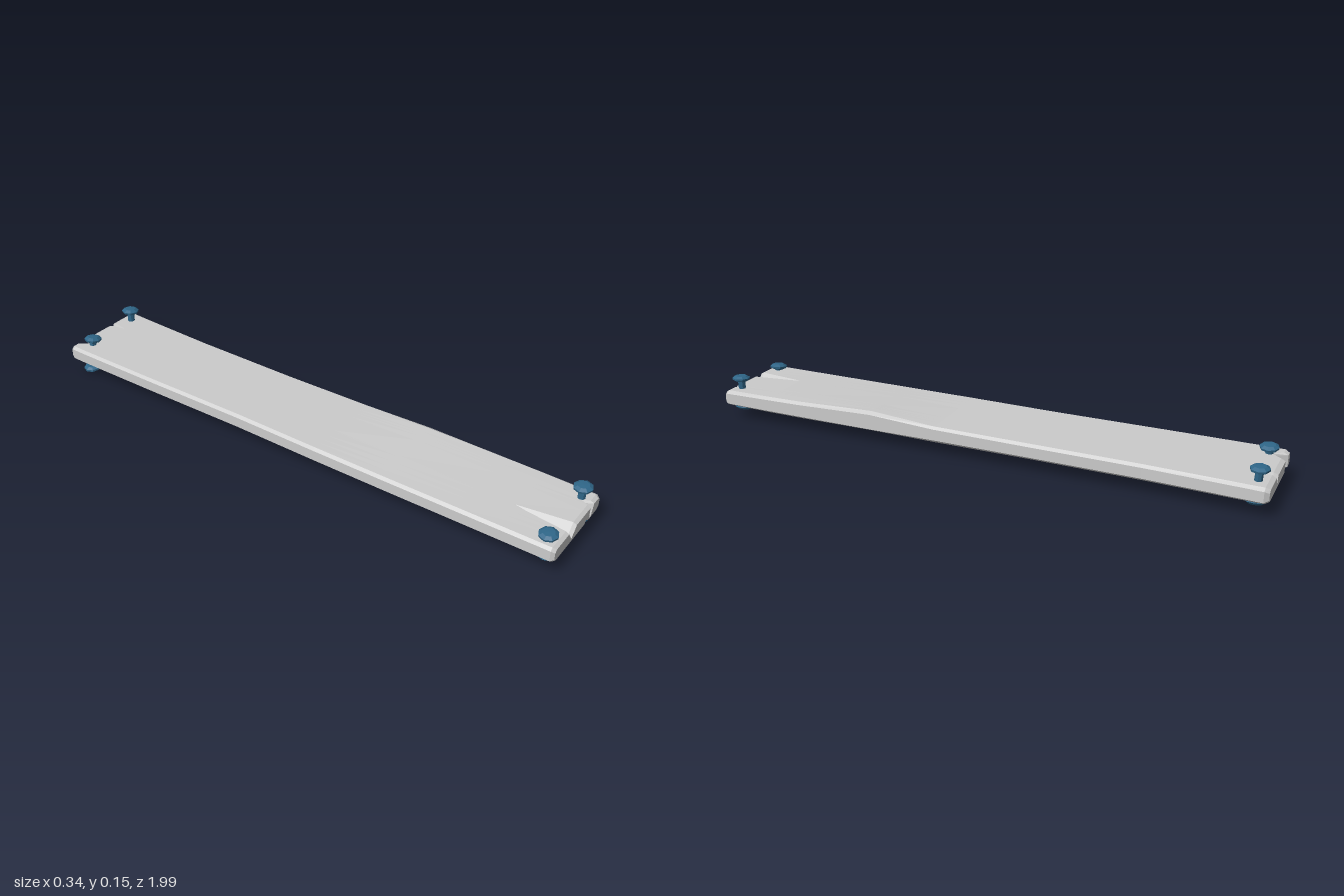
import * as THREE from 'three';

const wood = new THREE.MeshStandardMaterial({ color: 0xcccccc, flatShading: true });
const metal = new THREE.MeshStandardMaterial({ color: 0x2f6688, flatShading: true });
const clamp01 = (t) => Math.min(1, Math.max(0, t));

// Plank stations: z, left x, right x, right bevel, top rise at the right edge, end inset
const stations = [
  [-1, -0.165, 0.158, 0.012, 0, 0.007],
  [-0.985, -0.172, 0.168, 0.014, 0, 0],
  [-0.93, -0.173, 0.165, 0.012, 0, 0],
  [-0.6, -0.172, 0.153, 0.01, 0, 0],
  [-0.2, -0.168, 0.151, 0.01, 0, 0],
  [0.13, -0.172, 0.152, 0.008, 0.002, 0],
  [0.38, -0.173, 0.151, 0.016, 0.014, 0],
  [0.67, -0.173, 0.157, 0.012, 0.006, 0],
  [0.8, -0.173, 0.158, 0.012, 0.004, 0],
  [0.98, -0.173, 0.158, 0.015, 0.001, 0],
  [0.992, -0.166, 0.15, 0.012, 0, 0.006],
];

// Columns across one station, each with a top and a bottom point
function section([z, left, right, bevel, rise, inset]) {
  const front = clamp01((z - 0.8) / 0.19);
  const back = clamp01((-0.93 - z) / 0.07);
  const open = Math.max(0.12, front);
  const slit = Math.max(0.12, front, back);
  const mid = 0.0525 + 0.0075 * z;
  const xs = [left, left + 0.01, -0.133, -0.11, -0.083,
    -0.048 - 0.026 * open, -0.048, -0.048 + 0.028 * open,
    mid - 0.014 * slit, mid, mid + 0.014 * slit,
    0.08, 0.092, 0.106, right - bevel, right];
  const last = xs.length - 1;
  return xs.map((x, j) => {
    const edge = j === 0 || j === last ? 0.009 : 0;
    let top = 0.106 + rise * clamp01((x + 0.15) / 0.28) - edge - inset;
    let bottom = 0.051 - 0.25 * rise * clamp01((x + 0.15) / 0.28) + edge + inset;
    let zTop = z, zBottom = z;
    if (j === 6) top -= 0.034 * front;                       // long split in the front end
    if (j === 9) { top -= 0.03 * back; bottom += 0.012 * front; } // back slit, front groove below
    if (j === 12 && z > 0.9) zTop -= 0.025 * front;          // chip in the front face
    if (j === 3 && z < -0.95) {                              // gap that frees the back corner
      const cut = z < -0.99 ? 0.047 : 0.035;
      zTop += cut; zBottom += cut;
    }
    return { top: [x, top, zTop], bottom: [x, bottom, zBottom] };
  });
}

function plankGeometry() {
  const rows = stations.map(section);
  const n = rows[0].length, m = rows.length, pos = [], index = [];
  rows.forEach((row) => row.forEach((p) => pos.push(...p.top, ...p.bottom)));
  const T = (i, j) => 2 * (i * n + j), B = (i, j) => T(i, j) + 1;
  const quad = (a, b, c, d) => index.push(a, b, c, a, c, d);
  for (let i = 0; i < m - 1; i++) {
    for (let j = 0; j < n - 1; j++) {
      quad(T(i, j), T(i + 1, j), T(i + 1, j + 1), T(i, j + 1));
      quad(B(i, j), B(i, j + 1), B(i + 1, j + 1), B(i + 1, j));
    }
    quad(T(i, n - 1), T(i + 1, n - 1), B(i + 1, n - 1), B(i, n - 1));
    quad(T(i, 0), B(i, 0), B(i + 1, 0), T(i + 1, 0));
  }
  for (let j = 0; j < n - 1; j++) {
    quad(B(m - 1, j), B(m - 1, j + 1), T(m - 1, j + 1), T(m - 1, j));
    quad(B(0, j), T(0, j), T(0, j + 1), B(0, j + 1));
  }
  const g = new THREE.BufferGeometry();
  g.setAttribute('position', new THREE.Float32BufferAttribute(pos, 3));
  g.setIndex(index);
  g.computeVertexNormals();
  return g;
}

// Domed faceted rivet head, centred on its rim
const headProfile = [[0, -0.01], [0.02, -0.01], [0.031, -0.004], [0.032, 0.003], [0.02, 0.01], [0, 0.011]]
  .map(([x, y]) => new THREE.Vector2(x, y));
const headGeometry = new THREE.LatheGeometry(headProfile, 8);

function rivet(name, top, bottom, tiltTop, tiltBottom) {
  const g = new THREE.Group();
  g.name = name;
  const a = new THREE.Vector3(...top), b = new THREE.Vector3(...bottom);
  const axis = a.clone().sub(b);
  const shank = new THREE.Mesh(new THREE.CylinderGeometry(0.013, 0.013, axis.length(), 8), metal);
  shank.name = 'shank';
  shank.position.copy(a).add(b).multiplyScalar(0.5);
  shank.quaternion.setFromUnitVectors(new THREE.Vector3(0, 1, 0), axis.normalize());
  const upper = new THREE.Mesh(headGeometry, metal);
  upper.name = 'upperHead';
  upper.position.copy(a);
  upper.rotation.z = tiltTop;
  const lower = new THREE.Mesh(headGeometry, metal);
  lower.name = 'lowerHead';
  lower.position.copy(b);
  lower.rotation.z = Math.PI + tiltBottom;
  g.add(shank, upper, lower);
  return g;
}

export function createModel() {
  const model = new THREE.Group();
  model.name = 'plank with rivets';
  const plank = new THREE.Mesh(plankGeometry(), wood);
  plank.name = 'plank';
  model.add(
    plank,
    rivet('frontRightRivet', [-0.13, 0.119, 0.95], [-0.118, 0.033, 0.95], 0.1, -0.12),
    rivet('frontLeftRivet', [0.105, 0.146, 0.95], [0.1, 0.034, 0.95], 0.05, 0.25),
    rivet('backRightRivet', [-0.107, 0.128, -0.942], [-0.126, 0.015, -0.942], -0.12, 0.12),
    rivet('backLeftRivet', [0.114, 0.146, -0.957], [0.108, 0.034, -0.95], -0.05, 0.3),
  );
  return model;
}
